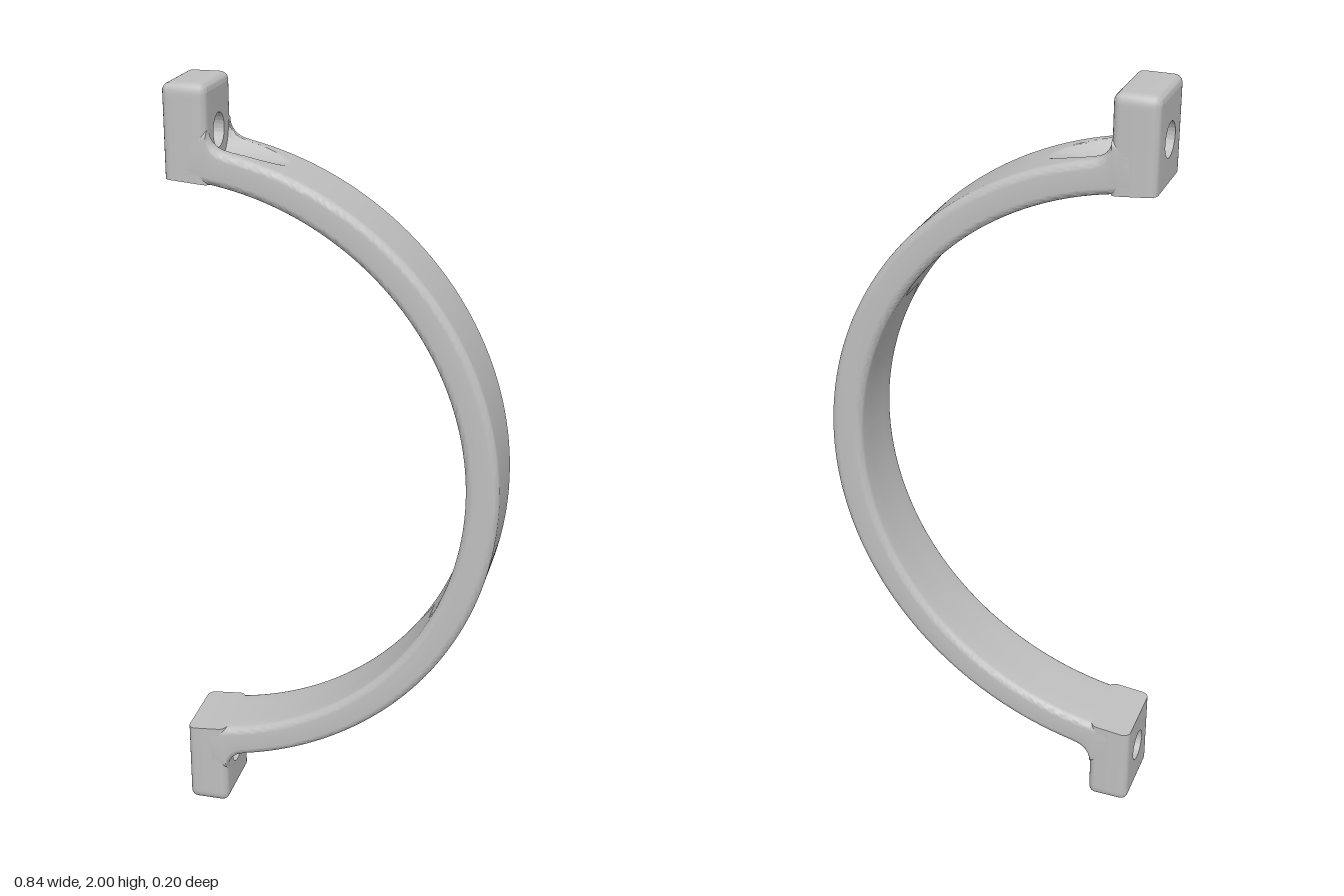
import * as THREE from 'three';
import { toCreasedNormals } from 'three/addons/utils/BufferGeometryUtils.js';

const CX = -0.435, R_IN = 0.77, R_OUT = 0.855; // ring centre and radii
const HALF_W = 0.1, EDGE = 0.02;               // half width and edge rounding
const X0 = -0.42, X1 = -0.31;                  // back and front of the tabs
const HOLE_Y = 0.875, HOLE_R = 0.042, TROUGH_R = 0.075;

// Skin a list of closed loops of [x, y, z]; optionally cap both ends
function loft(loops, crease, capped) {
  const n = loops[0].length, pos = loops.flat(2), index = [];
  for (let i = 0; i < loops.length - 1; i++) {
    for (let j = 0; j < n; j++) {
      const a = i * n + j, b = i * n + (j + 1) % n;
      index.push(a, b, b + n, a, b + n, a + n);
    }
  }
  if (capped) {
    const last = (loops.length - 1) * n;
    for (let j = 1; j < n - 1; j++) {
      index.push(0, j + 1, j, last, last + j, last + j + 1);
    }
  }
  const g = new THREE.BufferGeometry();
  g.setAttribute('position', new THREE.Float32BufferAttribute(pos, 3));
  g.setIndex(index);
  return toCreasedNormals(g, crease);
}

// Band section as [distance from outer (+) or inner (-) skin, z], rounded corners
function bandSection() {
  const pts = [], flat = HALF_W - EDGE, steps = 48, arc = 6;
  for (let i = 0; i <= steps; i++) pts.push([0, -flat + 2 * flat * i / steps, true]);
  const corner = (k) => [EDGE * (1 - Math.cos(k)), flat + EDGE * Math.sin(k)];
  for (let i = 1; i <= arc; i++) pts.push([...corner(i / arc * Math.PI / 2), true]);
  for (let i = arc; i >= 0; i--) pts.push([...corner(i / arc * Math.PI / 2), false]);
  for (let i = 1; i <= 4; i++) pts.push([0, flat - 2 * flat * i / 4, false]);
  for (let i = 1; i <= arc; i++) {
    const [d, z] = corner(i / arc * Math.PI / 2);
    pts.push([d, -z, false]);
  }
  for (let i = arc; i >= 1; i--) {
    const [d, z] = corner(i / arc * Math.PI / 2);
    pts.push([d, -z, true]);
  }
  return pts;
}

function bandGeometry() {
  // Outer path: hidden start, fillet against the tab, then the arc
  const upper = [[-0.35, 0.88]], fx = -0.255, fy = 0.893, fr = 0.055;
  const join = Math.atan2(fy, fx - CX);
  for (let i = 0; i <= 12; i++) {
    const a = Math.PI + join * i / 12;
    upper.push([fx + fr * Math.cos(a), fy + fr * Math.sin(a)]);
  }
  for (let i = 1; i <= 120; i++) {
    const a = join * (1 - i / 120);
    upper.push([CX + R_OUT * Math.cos(a), R_OUT * Math.sin(a)]);
  }
  const lower = upper.slice(0, -1).reverse().map(([x, y]) => [x, -y]);
  const section = bandSection();
  const loops = [...upper, ...lower].map(([x, y]) => {
    const r = Math.hypot(x - CX, y), dx = (x - CX) / r, dy = y / r;
    return section.map(([d, z, outer]) => {
      const q = outer ? r - d : R_IN + d;
      const px = CX + dx * q;
      let py = dy * q;
      // Screw clearance trough cut along x
      if (outer && Math.abs(z) < TROUGH_R) {
        const half = Math.sqrt(TROUGH_R ** 2 - z * z);
        const floor = HOLE_Y - half;
        if (Math.abs(py) > floor) py = Math.sign(py) * floor;
      }
      return [px, py, z];
    });
  });
  return loft(loops, 0.6, true);
}

function tabGeometry() {
  const N = 128, top = 1, bottom = 0.72;
  const ring = (fn) => Array.from({ length: N }, (_, j) => fn(j / N * Math.PI * 2));
  const hole = (x) => ring((a) =>
    [x, HOLE_Y + HOLE_R * Math.cos(a), HOLE_R * Math.sin(a)]);
  // Rounded rectangle, its underside following the inside of the ring
  const outline = (x, radius) => ring((a) => {
    const c = Math.cos(a), s = Math.sin(a);
    const k = Math.min((c > 0 ? top - HOLE_Y : HOLE_Y - bottom) / Math.max(Math.abs(c), 1e-6),
      HALF_W / Math.max(Math.abs(s), 1e-6));
    const y = HOLE_Y + k * c, z = k * s;
    const iy = THREE.MathUtils.clamp(y, bottom + EDGE, top - EDGE);
    const iz = THREE.MathUtils.clamp(z, EDGE - HALF_W, HALF_W - EDGE);
    const len = Math.hypot(y - iy, z - iz) || 1;
    const under = Math.sqrt(R_IN ** 2 - (x - CX) ** 2);
    return [x, Math.max(iy + radius * (y - iy) / len, under), iz + radius * (z - iz) / len];
  });
  const loops = [hole(X0), outline(X0, -0.003)];
  for (let i = 0; i <= 5; i++) {
    const a = i / 5 * Math.PI / 2;
    loops.push(outline(X0 + EDGE * (1 - Math.cos(a)), EDGE * Math.sin(a)));
  }
  for (let i = 5; i >= 0; i--) {
    const a = i / 5 * Math.PI / 2;
    loops.push(outline(X1 - EDGE * (1 - Math.cos(a)), EDGE * Math.sin(a)));
  }
  loops.push(outline(X1, -0.003), hole(X1), hole(X0));
  return loft(loops, 0.6, false);
}

export function createModel() {
  const metal = new THREE.MeshStandardMaterial({ color: 0xbfbfbf });
  metal.name = 'light grey';
  const model = new THREE.Group();
  model.name = 'halfRingClamp';

  // Parts are made around the ring centre, one unit above the ground
  const add = (name, geometry) => {
    const mesh = new THREE.Mesh(geometry, metal);
    mesh.name = name;
    mesh.position.y = 1;
    model.add(mesh);
    return mesh;
  };
  add('curvedBand', bandGeometry());
  const tab = tabGeometry();
  add('upperTab', tab);
  add('lowerTab', tab).rotation.x = Math.PI;
  return model;
}
